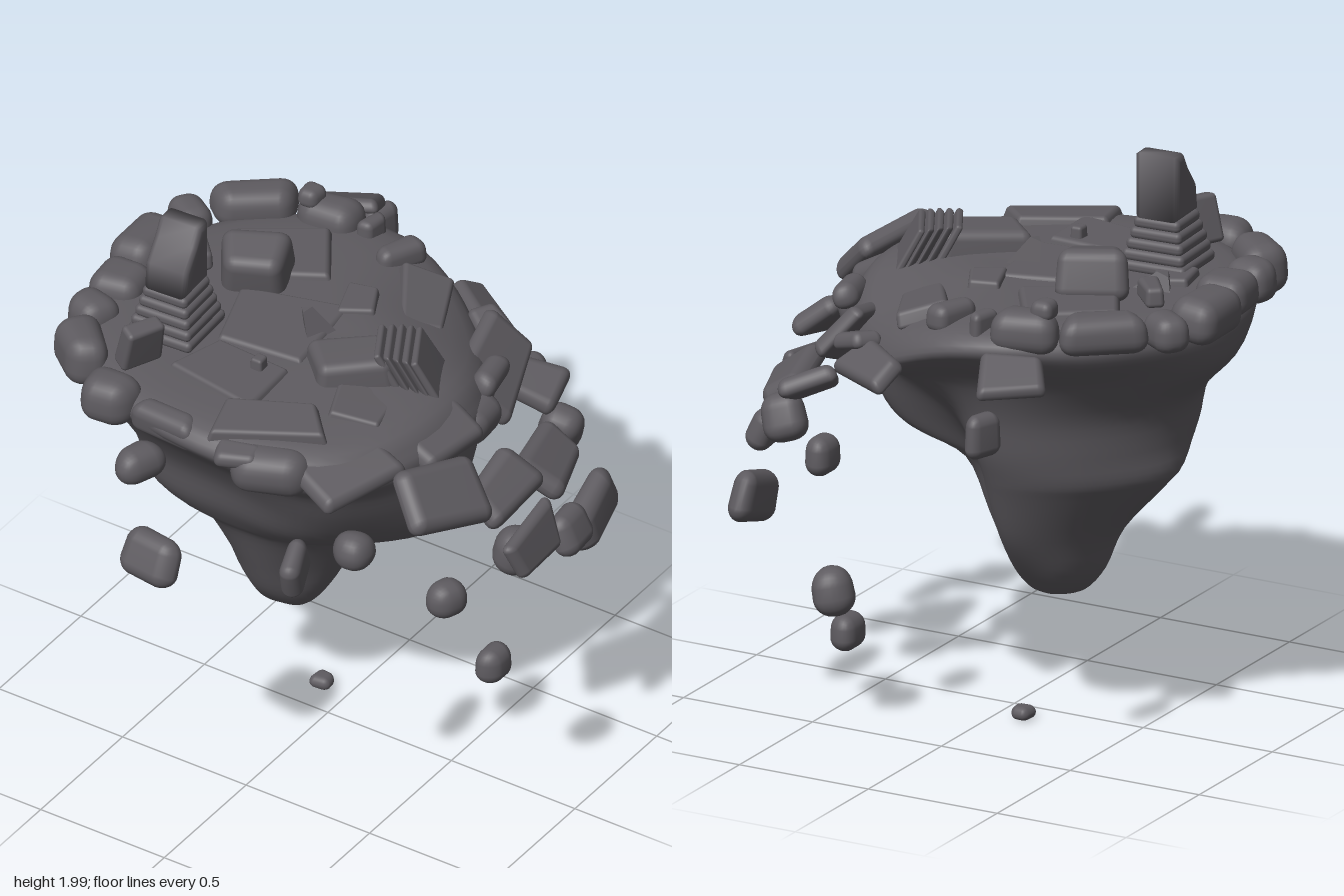
import * as THREE from 'three';
import { mergeVertices } from 'three/addons/utils/BufferGeometryUtils.js';
import { RoundedBoxGeometry } from 'three/addons/geometries/RoundedBoxGeometry.js';

const rock = new THREE.MeshStandardMaterial({ color: 0x5e5b60 });
rock.name = 'dark grey rock';

function add(parent, name, geometry) {
  const mesh = new THREE.Mesh(geometry, rock);
  mesh.name = name;
  parent.add(mesh);
  return mesh;
}

// Weld the corners so that normals run smoothly over the edges
function smooth(geometry) {
  geometry.deleteAttribute('uv');
  geometry.deleteAttribute('normal');
  const g = mergeVertices(geometry, 1e-5);
  g.computeVertexNormals();
  return g;
}

// Softly rounded stone, slightly skewed by its seed; soft pulls it towards an ellipsoid
function stoneGeometry(w, h, d, seed, round = 0.36, soft = 0) {
  const g = smooth(new RoundedBoxGeometry(w, h, d, 3, Math.min(w, h, d) * round));
  const p = g.attributes.position, v = new THREE.Vector3(), e = new THREE.Vector3();
  const half = new THREE.Vector3(w / 2, h / 2, d / 2);
  const a = 0.13 * Math.sin(seed * 12.9), b = 0.13 * Math.sin(seed * 78.2);
  for (let i = 0; i < p.count; i++) {
    v.fromBufferAttribute(p, i).divide(half);
    v.lerp(e.copy(v).normalize().multiplyScalar(1.05), soft);
    p.setXYZ(i, half.x * v.x * (1 + a * v.z - 0.06 * v.y), half.y * v.y,
      half.z * v.z * (1 + b * v.x - 0.06 * v.y));
  }
  g.computeVertexNormals();
  return g;
}

// Each row: x, y, z, width, height, depth, then tilt x, yaw, tilt z
function stones(parent, name, rows, round, soft) {
  const group = new THREE.Group();
  group.name = name + 's';
  for (const [x, y, z, w, h, d, rx = 0, ry = 0, rz = 0] of rows) {
    const m = add(group, name, stoneGeometry(w, h, d, x + 2 * z, round, soft));
    m.position.set(x, y, z);
    m.rotation.set(rx, ry, rz, 'YXZ');
  }
  parent.add(group);
}

// Island: height, share of the broken corner's drop, radii in eight directions (+x towards +z)
const CENTRE = -0.13;
const DROP = [.05, .05, 0, 0, 0, 0, .02, .17];
const LEVELS = [
  [1.585, 0, [.3, .3, .3, .3, .3, .3, .3, .3]],
  [1.575, .6, [.60, .66, .62, .63, .62, .61, .60, .58]],
  [1.52, 1, [.69, .75, .71, .71, .69, .68, .69, .66]],
  [1.45, .85, [.71, .76, .67, .70, .70, .66, .64, .65]],
  [1.35, .4, [.71, .70, .57, .64, .67, .57, .54, .56]],
  [1.20, .1, [.69, .63, .47, .55, .53, .48, .47, .41]],
  [1.05, 0, [.65, .53, .42, .51, .50, .45, .43, .31]],
  [0.95, 0, [.55, .42, .36, .43, .50, .43, .39, .25]],
  [0.88, 0, [.32, .31, .31, .33, .45, .39, .36, .22]],
  [0.70, 0, [.22, .21, .23, .23, .29, .28, .28, .18]],
  [0.55, 0, [.14, .15, .16, .17, .22, .20, .17, .13]],
  [0.46, 0, [.07, .08, .08, .11, .14, .11, .08, .06]],
];

function islandGeometry() {
  const N = 64, M = 52, pos = [], index = [];
  const rings = LEVELS.map(([y, share, radii]) => new THREE.CatmullRomCurve3(
    radii.map((r, k) => new THREE.Vector3(CENTRE + r * Math.cos(k * Math.PI / 4),
      y - DROP[k] * share, r * Math.sin(k * Math.PI / 4))),
    true, 'catmullrom', 0.55));
  for (let j = 0; j < N; j++) {
    const column = new THREE.CatmullRomCurve3([
      new THREE.Vector3(CENTRE, 1.585, 0),
      ...rings.map(c => c.getPoint(j / N)),
      new THREE.Vector3(CENTRE - 0.03, 0.428, 0.01)], false, 'catmullrom', 0.5);
    for (let i = 0; i <= M; i++) {
      const p = column.getPoint(i / M);
      pos.push(p.x, p.y, p.z);
    }
  }
  for (let j = 0; j < N; j++) for (let i = 0; i < M; i++) {
    const a = j * (M + 1) + i, b = ((j + 1) % N) * (M + 1) + i;
    if (i > 0) index.push(a, b, a + 1);
    if (i < M - 1) index.push(b, b + 1, a + 1);
  }
  const g = new THREE.BufferGeometry();
  g.setAttribute('position', new THREE.Float32BufferAttribute(pos, 3));
  g.setIndex(index);
  return smooth(g);
}

// Stepped square pillar with a slanted capstone
function buildPillar() {
  const pillar = new THREE.Group();
  pillar.name = 'pillar';
  for (let i = 0; i < 5; i++) {
    const s = 0.25 - i * 0.019;
    const tier = add(pillar, 'pillarTier', new RoundedBoxGeometry(s, 0.042, s, 3, 0.018));
    tier.position.y = 0.02 + i * 0.037;
  }
  const side = new THREE.Shape([[-.06, 0], [.06, 0], [.06, .19], [.035, .19], [.005, .14], [-.05, .07]]
    .map(([x, y]) => new THREE.Vector2(x, y)));
  const cap = new THREE.ExtrudeGeometry(side, {
    depth: 0.12, bevelSize: 0.022, bevelThickness: 0.022, bevelSegments: 4 });
  cap.translate(0, 0, -0.06);
  cap.rotateY(Math.PI / 2);
  add(pillar, 'capstone', smooth(cap)).position.y = 0.207;
  pillar.position.set(-0.455, 1.58, 0.24);
  pillar.rotation.y = 0.06;
  return pillar;
}

export function createModel() {
  const model = new THREE.Group();
  model.name = 'floatingIsland';
  add(model, 'islandBody', islandGeometry());
  model.add(buildPillar());

  // Ring of stones along the left and back edge
  stones(model, 'rimStone', [
    [-.45, 1.54, .65, .20, .17, .17, 0, .05],
    [-.22, 1.52, .65, .25, .12, .10, .2, -.05],
    [-.67, 1.55, .49, .24, .18, .16, 0, -.75],
    [-.75, 1.56, .31, .17, .15, .15, 0, -.3],
    [-.75, 1.57, .13, .19, .14, .19, 0, .1],
    [-.80, 1.57, -.10, .18, .16, .27, 0, 0, .1],
    [-.77, 1.57, -.32, .17, .13, .13, 0, -.6],
    [-.62, 1.59, -.49, .29, .14, .15, 0, .65],
    [-.37, 1.58, -.57, .23, .15, .15, 0, .15],
    [-.21, 1.57, -.59, .06, .12, .11, 0, -.2],
    [-.06, 1.57, -.53, .09, .10, .18, 0, -.4],
    [-.43, 1.66, -.55, .08, .07, .09],
  ], 0.4, 0.1);

  // Stones breaking away from the right and front edge
  stones(model, 'edgeStone', [
    [.54, 1.46, .13, .18, .07, .29, .05, -.1, -.5],
    [.39, 1.48, .49, .25, .06, .32, .15, -.3, -.25],
    [.18, 1.47, .62, .28, .16, .16, .2, .3],
    [.08, 1.52, .67, .16, .06, .10, .2, .3],
    [.53, 1.38, -.11, .13, .14, .20, 0, .15, -.4],
    [.42, 1.39, -.39, .24, .06, .34, .3, .25, -.85],
    [.50, 1.47, -.24, .09, .09, .18, 0, .2, -.3],
    [.30, 1.42, -.54, .15, .06, .12, .1, -.5, -.3],
    [.48, 1.24, -.55, .19, .07, .17, .4, .3, -.4],
    [.58, 1.10, -.55, .15, .17, .13, .3, .2, -.3],
    [.19, 1.38, -.65, .28, .06, .15, -.6, -.6],
    [-.43, 1.49, -.78, .22, .05, .18, -.5, .5],
  ], 0.45);

  // Slabs tumbling down the right side
  stones(model, 'fallingSlab', [
    [.71, 1.42, .37, .24, .08, .34, -.2, -.35, -.72],
    [.735, 1.265, .04, .18, .08, .28, .2, 0, -.7],
    [.69, 1.15, -.31, .19, .08, .31, -.05, .3, -.6],
    [.84, 1.06, .01, .17, .05, .27, .1, .05, -1.25],
  ], 0.48, 0.12);

  // Boulders drifting around the island
  stones(model, 'driftingBoulder', [
    [.83, 1.14, .53, .12, .13, .14, 0, -.3],
    [.81, .94, -.26, .10, .16, .18, 0, .1, .4],
    [.70, .80, -.56, .11, .19, .29, .3, .15, .1],
    [.39, .51, -.55, .14, .17, .15, .1, .3, -.2],
    [.50, .26, -.26, .10, .13, .14],
    [-.10, .03, -.12, .075, .05, .075],
    [.54, 1.30, .66, .14, .13, .13, 0, .2],
    [.43, 1.30, .85, .08, .17, .18, .4, .3],
    [-.23, 1.45, .81, .13, .13, .18, 0, -.3],
    [-.10, 1.18, .93, .23, .18, .11, -.4, -.15],
    [.31, 1.08, -.77, .10, .14, .14],
    [-.40, 1.32, -.93, .08, .16, .14, 0, -.3],
  ], 0.45, 0.5);

  // Paving slabs across the top
  stones(model, 'pavingSlab', [
    [-.17, 1.575, .05, .36, .05, .34, 0, .2],
    [-.15, 1.575, .36, .34, .05, .24, 0, -.12],
    [.10, 1.565, .51, .36, .06, .18, .1, .5],
    [-.38, 1.58, -.29, .34, .06, .28, 0, .55],
    [-.01, 1.585, -.21, .12, .05, .16, 0, .4],
    [.13, 1.53, -.39, .17, .06, .30, .1, .5, -.3],
    [-.55, 1.585, .12, .14, .05, .16, 0, .3],
    [.30, 1.55, .25, .20, .05, .2, 0, .3, -.15],
    [-.08, 1.61, .30, .045, .06, .05],
  ], 0.25);

  // Fallen blocks lying on the paving, and one standing by the pillar
  stones(model, 'fallenBlock', [
    [-.38, 1.65, -.13, .23, .18, .19, .25, .45],
    [.18, 1.59, .11, .29, .14, .20, 0, .65, .05],
    [-.60, 1.62, -.12, .07, .07, .15, 0, .7],
    [-.44, 1.665, .48, .07, .17, .15, 0, -.45, -.25],
  ], 0.25);

  // Leaning stack of thin plates
  for (let i = 0; i < 5; i++) {
    const plate = add(model, 'leaningPlate',
      stoneGeometry(.026, .2 + .012 * i, .2 + .008 * i, .01 * i, .4));
    plate.position.set(.28 + .031 * i, 1.6 - .008 * i, .03 - .016 * i);
    plate.rotation.set(0, .5, .5, 'YXZ');
  }

  // Pointed shards standing on the surface
  for (const [x, y, z, r, h, ry, rz] of [
    [-.05, 1.61, .02, .08, .14, .2, .35], [-.56, 1.60, .02, .09, .08, 0, .3]]) {
    const shard = add(model, 'shard', new THREE.CylinderGeometry(r * .3, r, h, 3).toNonIndexed());
    shard.geometry.computeVertexNormals();
    shard.position.set(x, y, z);
    shard.rotation.set(0, ry, rz, 'YXZ');
  }
  return model;
}
